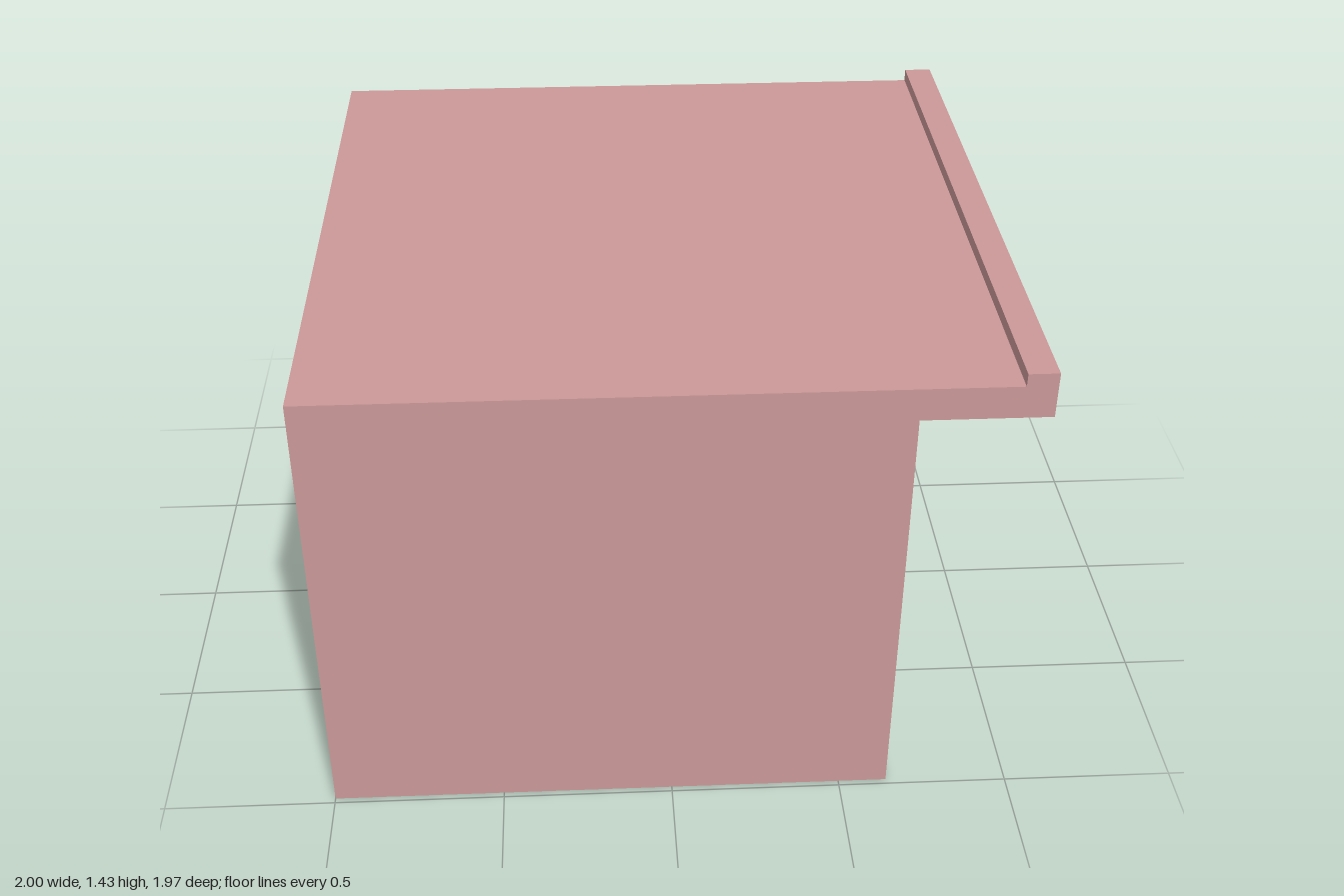
import * as THREE from 'three';

const HALF_DEPTH = 0.983;
const PATCH_END = 0.19; // where the olive part of the overhang's underside stops

// Profile seen from the front, counter-clockwise; the bottom is left open
const PROFILE = [
  [0.643, 0], [0.643, 1.3], [1, 1.3], [1, 1.435],
  [0.915, 1.435], [0.915, 1.397], [-1, 1.397], [-1, 0],
];

// Flat panel swept along z from profile point a to profile point b
function panel(name, a, b, z0, z1, material) {
  const geometry = new THREE.BufferGeometry();
  geometry.setAttribute('position', new THREE.Float32BufferAttribute(
    [...a, z0, ...b, z0, ...b, z1, ...a, z1], 3));
  geometry.setIndex([0, 1, 2, 0, 2, 3]);
  geometry.computeVertexNormals();
  const mesh = new THREE.Mesh(geometry, material);
  mesh.name = name;
  return mesh;
}

export function createModel() {
  const pink = new THREE.MeshStandardMaterial({ color: 0xcc9999, side: THREE.DoubleSide });
  pink.name = 'dusty pink';
  const olive = new THREE.MeshStandardMaterial({ color: 0xc6ba70, side: THREE.DoubleSide });
  olive.name = 'olive';

  const model = new THREE.Group();
  model.name = 'overhangingBox';

  // Side walls, roof, overhang and raised lip
  const names = ['leftWall', 'overhangUnderside', 'overhangEdge', 'lipTop', 'lipInside', 'roof', 'rightWall'];
  names.forEach((name, i) => {
    const z0 = name === 'overhangUnderside' ? PATCH_END : -HALF_DEPTH;
    model.add(panel(name, PROFILE[i], PROFILE[i + 1], z0, HALF_DEPTH, pink));
  });

  // Olive rear part of the overhang's underside
  model.add(panel('undersidePatch', PROFILE[1], PROFILE[2], -HALF_DEPTH, PATCH_END, olive));

  // Front and back walls follow the full profile
  const shape = new THREE.Shape(PROFILE.map(([x, y]) => new THREE.Vector2(x, y)));
  for (const side of [1, -1]) {
    const geometry = new THREE.ShapeGeometry(shape);
    if (side < 0) {
      geometry.index.array.reverse();
      geometry.computeVertexNormals();
    }
    const wall = new THREE.Mesh(geometry, pink);
    wall.name = side > 0 ? 'frontWall' : 'backWall';
    wall.position.z = side * HALF_DEPTH;
    model.add(wall);
  }
  return model;
}
